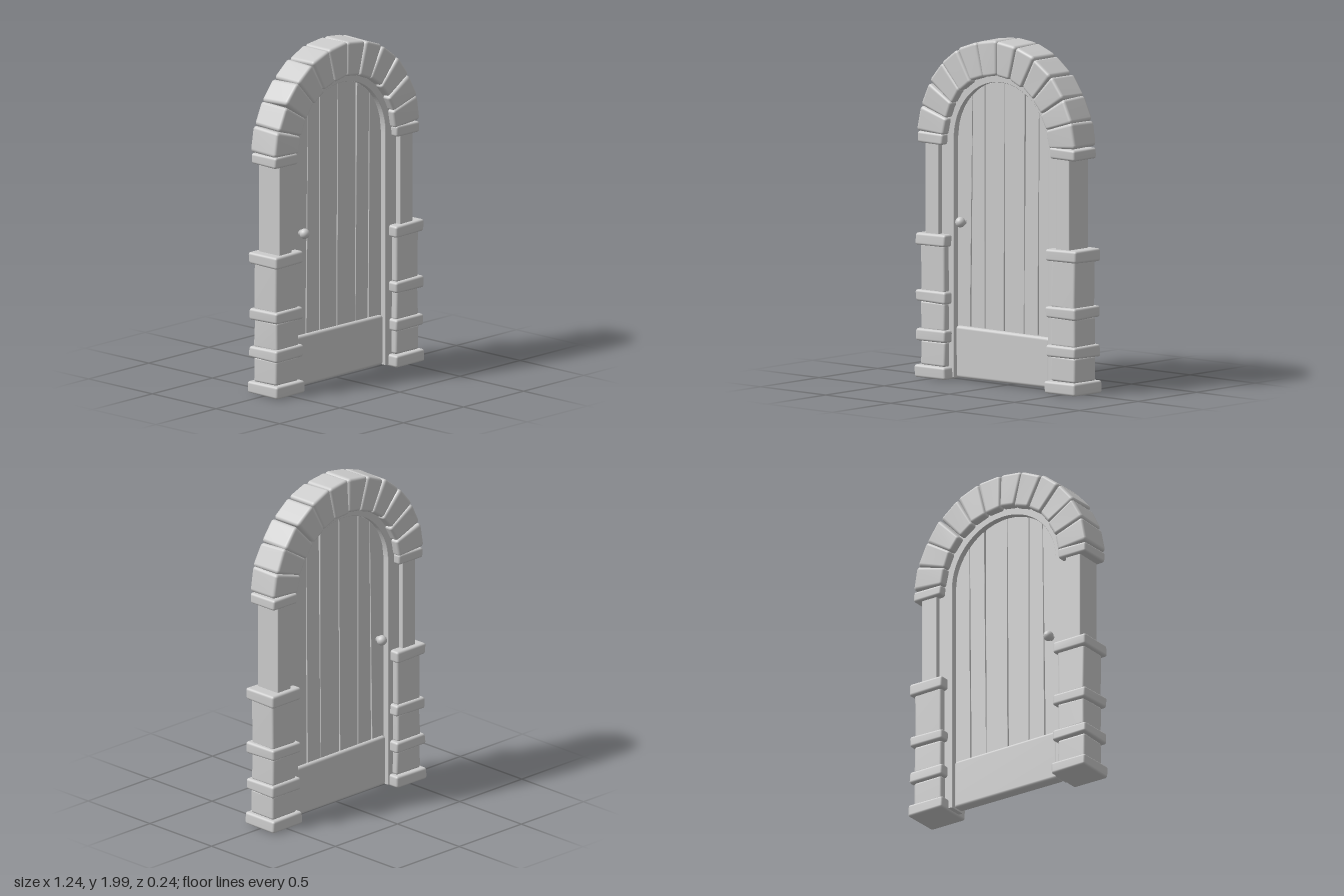
import * as THREE from 'three';
import { mergeVertices } from 'three/addons/utils/BufferGeometryUtils.js';
import { RoundedBoxGeometry } from 'three/addons/geometries/RoundedBoxGeometry.js';

const CX = -0.007;        // centre line of the opening
const SPRING = 1.393;     // height where the arch begins
const DOOR_R = 0.362;     // half width of the door and radius of its top

export function createModel() {
  const model = new THREE.Group();
  const mat = new THREE.MeshStandardMaterial({ color: 0xcccccc });

  let seed = 11;
  const rand = () => {
    seed = (seed * 16807) % 2147483647;
    return (seed / 2147483647) * 2 - 1;
  };

  const add = (name, geometry, parent = model) => {
    const mesh = new THREE.Mesh(geometry, mat);
    mesh.name = name;
    parent.add(mesh);
    return mesh;
  };

  // Rounded block whose eight corners are nudged; an optional rule then bends it
  function stone(w, h, d, radius, wobble, bend) {
    const geo = new RoundedBoxGeometry(w, h, d, 3, radius);
    geo.deleteAttribute('uv');
    geo.deleteAttribute('normal');
    const corners = Array.from({ length: 8 }, () =>
      new THREE.Vector3(rand(), rand(), rand()).multiplyScalar(wobble));
    const pos = geo.attributes.position;
    const p = new THREE.Vector3();
    for (let i = 0; i < pos.count; i++) {
      p.fromBufferAttribute(pos, i);
      const u = p.x / w + 0.5, v = p.y / h + 0.5, t = p.z / d + 0.5;
      corners.forEach((c, k) => {
        const f = (k & 1 ? u : 1 - u) * (k & 2 ? v : 1 - v) * (k & 4 ? t : 1 - t);
        p.addScaledVector(c, f);
      });
      if (bend) bend(p);
      pos.setXYZ(i, p.x, p.y, p.z);
    }
    const merged = mergeVertices(geo, 1e-5);
    merged.computeVertexNormals();
    return merged;
  }

  // Extrusion centred on z = 0 with a small bevel kept inside the outline
  function slab(shape, depth, bevel) {
    const geo = new THREE.ExtrudeGeometry(shape, {
      depth: depth - 2 * bevel, bevelEnabled: true, bevelThickness: bevel,
      bevelSize: bevel, bevelOffset: -bevel, bevelSegments: 1, curveSegments: 32,
    });
    return geo.translate(0, 0, bevel - depth / 2);
  }

  // Arch of twelve wedge stones
  const arch = new THREE.Group();
  arch.name = 'archStones';
  model.add(arch);
  const count = 12, start = 0.06, step = (Math.PI - 2 * start) / count;
  for (let i = 0; i < count; i++) {
    const angle = start + step * (i + 0.5);
    const mid = 0.504;
    const bend = (p) => {
      const a = angle - p.x / mid, r = mid + p.y;
      p.set(CX + Math.cos(a) * r, SPRING + Math.sin(a) * r, p.z);
    };
    add('archStone', stone(mid * step - 0.001, 0.204, 0.198, 0.018, 0.005, bend), arch);
  }

  // Side pillars: [name, bottom, top, inner x, outer x, depth]
  const courses = [
    ['base', 0.007, 0.08, 0.382, 0.618, 0.236],
    ['lowerBlock', 0.075, 0.225, 0.406, 0.594, 0.18],
    ['lowerBand', 0.22, 0.288, 0.385, 0.615, 0.222],
    ['middleBlock', 0.28, 0.45, 0.408, 0.592, 0.18],
    ['middleBand', 0.443, 0.51, 0.385, 0.614, 0.222],
    ['upperBlock', 0.5, 0.782, 0.408, 0.592, 0.18],
    ['upperBand', 0.77, 0.84, 0.386, 0.616, 0.224],
    ['archRest', 1.36, 1.424, 0.41, 0.602, 0.198],
  ];
  for (const side of [-1, 1]) {
    const pillar = new THREE.Group();
    pillar.name = side > 0 ? 'leftPillar' : 'rightPillar';
    model.add(pillar);
    for (const [name, y0, y1, x0, x1, depth] of courses) {
      const shift = name === 'archRest' ? CX : 0;
      const block = add(name, stone(x1 - x0, y1 - y0, depth, 0.015, 0.0035), pillar);
      block.position.set(side * (x0 + x1) / 2 + shift, (y0 + y1) / 2, 0);
    }
    const post = add('post', new RoundedBoxGeometry(0.102, 0.6, 0.165, 1, 0.004), pillar);
    post.position.set(CX + side * 0.502, 1.1, 0.002);
  }

  // Frame around the opening
  const frameShape = new THREE.Shape();
  frameShape.moveTo(0.455, 0.02);
  frameShape.lineTo(0.455, SPRING);
  frameShape.absarc(0, SPRING, 0.455, 0, Math.PI, false);
  frameShape.lineTo(-0.455, 0.02);
  frameShape.lineTo(-DOOR_R, 0.02);
  frameShape.lineTo(-DOOR_R, SPRING);
  frameShape.absarc(0, SPRING, DOOR_R, Math.PI, 0, true);
  frameShape.lineTo(DOOR_R, 0.02);
  add('doorFrame', slab(frameShape, 0.104, 0.002)).position.x = CX;

  // Door planks with uneven gaps: [x at bottom, x at top, half gap at bottom, half gap at top]
  const door = new THREE.Group();
  door.name = 'door';
  door.position.x = CX;
  model.add(door);
  const seams = [
    [-DOOR_R, -DOOR_R, 0, 0],
    [-0.265, -0.247, 0.004, 0.001],
    [-0.152, -0.152, 0.002, 0.002],
    [-0.006, 0, 0.004, 0.0005],
    [0.146, 0.157, 0, 0.005],
    [0.254, 0.264, 0.004, 0.001],
    [DOOR_R, DOOR_R, 0, 0],
  ];
  const bottom = 0.2;
  const archY = (x) => SPRING + Math.sqrt(Math.max(0, DOOR_R * DOOR_R - x * x));
  for (let i = 0; i < seams.length - 1; i++) {
    const [lb, lt, lgb, lgt] = seams[i];
    const [rb, rt, rgb, rgt] = seams[i + 1];
    const xl = lt + lgt, xr = rt - rgt;
    const plank = new THREE.Shape();
    plank.moveTo(lb + lgb, bottom);
    plank.lineTo(rb - rgb, bottom);
    for (let k = 0; k <= 10; k++) {
      const x = xr + (xl - xr) * k / 10;
      plank.lineTo(x, archY(x));
    }
    add('plank', slab(plank, 0.036, 0.002), door);
  }

  // Kick board across the foot of the door
  const kick = add('kickBoard', stone(0.724, 0.297, 0.076, 0.018, 0.003), door);
  kick.position.set(0, 0.168, 0);

  // Knob on each face
  const knobProfile = [[0.001, 0], [0.018, 0], [0.018, 0.006], [0.011, 0.01], [0.011, 0.016]]
    .map(([r, y]) => new THREE.Vector2(r, y));
  for (let k = 0; k <= 10; k++) {
    const a = -1.1 + (Math.PI / 2 + 1.1) * k / 10;
    knobProfile.push(new THREE.Vector2(Math.max(0, 0.03 * Math.cos(a)), 0.036 + 0.03 * Math.sin(a)));
  }
  for (const side of [-1, 1]) {
    const knob = add('knob', new THREE.LatheGeometry(knobProfile, 20), door);
    knob.rotation.x = side * Math.PI / 2;
    knob.position.set(-0.311, 0.92, side * 0.016);
  }

  return model;
}
